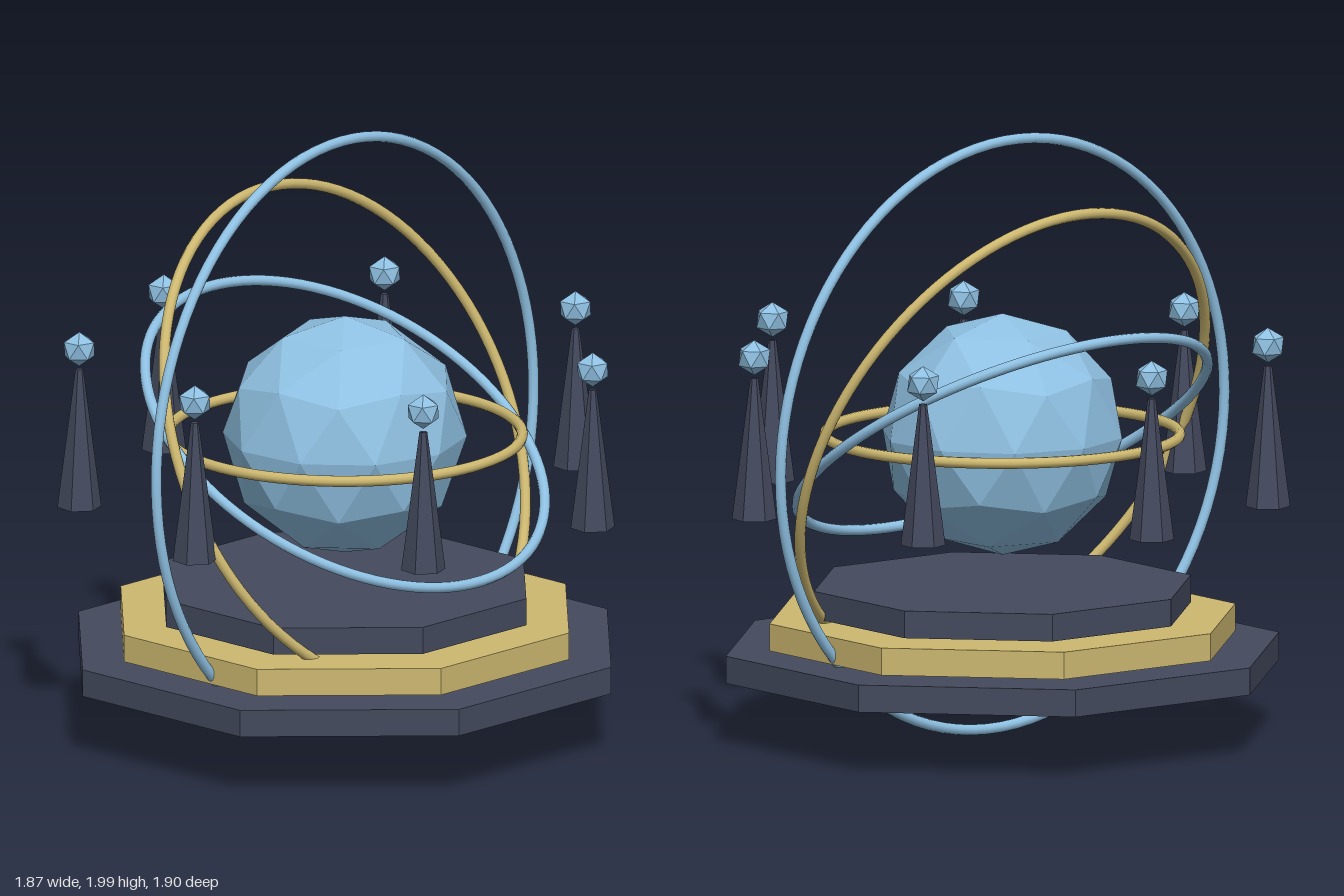
import * as THREE from 'three';

const flat = (color) => new THREE.MeshStandardMaterial({ color, flatShading: true });
const smooth = (color) => new THREE.MeshStandardMaterial({ color });

const SLATE = 0x444a5e, GOLD = 0xcdb870, BLUE = 0x8fc1e3;
const CENTRE_Y = 1;

// Icosphere standing on a vertex, with an upper-ring vertex towards +x
function uprightIcosphere(radius, detail) {
  const geometry = new THREE.IcosahedronGeometry(radius, detail);
  geometry.rotateX(-Math.atan((1 + Math.sqrt(5)) / 2));
  geometry.rotateY(Math.PI / 2);
  return geometry;
}

export function createModel() {
  const model = new THREE.Group();
  model.name = 'armillaryOrb';

  const add = (parent, name, geometry, material, x = 0, y = 0, z = 0) => {
    const mesh = new THREE.Mesh(geometry, material);
    mesh.name = name;
    mesh.position.set(x, y, z);
    parent.add(mesh);
    return mesh;
  };

  const slate = flat(SLATE), gold = flat(GOLD), blue = flat(BLUE);

  // Stepped octagonal pedestal, with narrow gaps between tiers
  const pedestal = new THREE.Group();
  pedestal.name = 'pedestal';
  model.add(pedestal);
  [
    ['lowerTier', 0.935, 0.259, slate],
    ['middleTier', 0.787, 0.36, gold],
    ['upperTier', 0.637, 0.461, slate],
  ].forEach(([name, radius, y, material]) =>
    add(pedestal, name, new THREE.CylinderGeometry(radius, radius, 0.09, 8), material, 0, y, 0));

  // Faceted central orb
  add(model, 'orb', uprightIcosphere(0.4, 1), blue, 0, CENTRE_Y, 0);

  // Nested rings, each turned to face along its axis
  const rings = new THREE.Group();
  rings.name = 'rings';
  model.add(rings);
  const goldMetal = smooth(GOLD), blueMetal = smooth(BLUE);
  [
    ['equatorRing', 0.58, [0, 1, 0], goldMetal],
    ['innerTiltedRing', 0.713, [0.509, 0.84, 0.196], blueMetal],
    ['outerTiltedRing', 0.847, [0.87, 0.42, 0.255], goldMetal],
    ['uprightRing', 0.98, [0.953, 0.04, 0.3], blueMetal],
  ].forEach(([name, radius, axis, material]) => {
    const ring = add(rings, name, new THREE.TorusGeometry(radius, 0.018, 10, 96), material, 0, CENTRE_Y, 0);
    ring.quaternion.setFromUnitVectors(
      new THREE.Vector3(0, 0, 1), new THREE.Vector3(...axis).normalize());
  });

  // Seven floating hexagonal spires, each topped by a gem
  const spireGeometry = new THREE.CylinderGeometry(0.013, 0.073, 0.466, 6);
  const gemGeometry = uprightIcosphere(0.058, 0);
  for (let i = 0; i < 7; i++) {
    const angle = (i / 7) * Math.PI * 2;
    const pillar = new THREE.Group();
    pillar.name = `pillar${i + 1}`;
    pillar.position.set(0.87 * Math.cos(angle), 0, 0.87 * Math.sin(angle));
    add(pillar, 'spire', spireGeometry, slate, 0, 1.005, 0);
    add(pillar, 'gem', gemGeometry, blue, 0, 1.306, 0);
    model.add(pillar);
  }

  return model;
}
